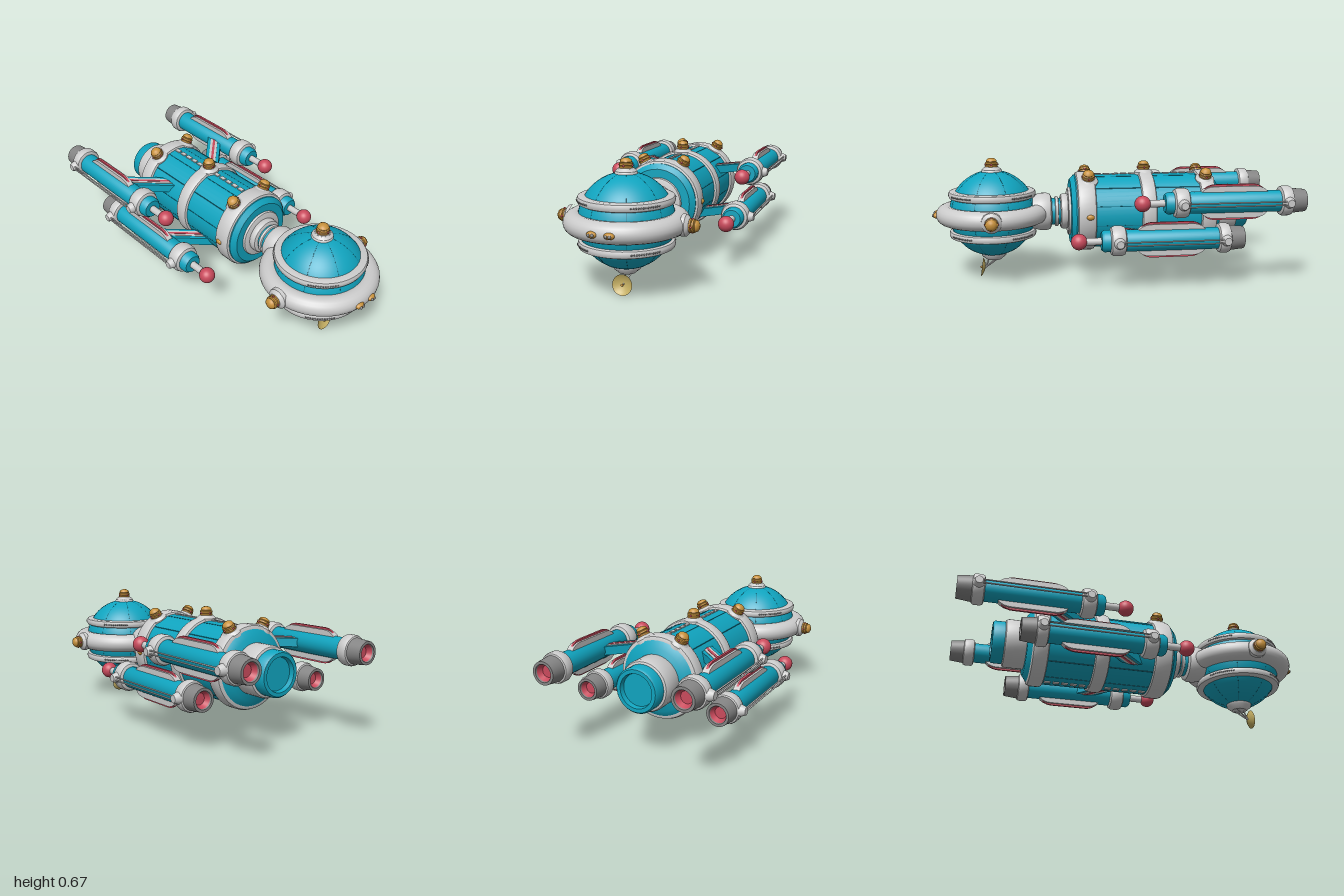
import * as THREE from 'three';
import { toCreasedNormals } from 'three/addons/utils/BufferGeometryUtils.js';

const mat = (color, extra = {}) => new THREE.MeshStandardMaterial({ color, ...extra });
const M = {
  grey: mat(0xcccccc), teal: mat(0x10a4bf), seam: mat(0x0a7086), gold: mat(0xc8923c),
  red: mat(0xc94a5c), dark: mat(0x858585), dish: mat(0xc4ae62, { side: THREE.DoubleSide }),
};
const V = (x, y, z) => new THREE.Vector3(x, y, z);
const UP = V(0, 1, 0), FWD = V(1, 0, 0);
const CY = 0.373; // height of the ship's axis
const HEAD = V(0.667, CY, 0);

function add(parent, name, geo, material, pos) {
  const mesh = new THREE.Mesh(geo, material);
  mesh.name = name;
  if (pos) mesh.position.copy(pos);
  parent.add(mesh);
  return mesh;
}

// Lathe of [radius, distance] points around a direction, with sharp creases
function turned(parent, name, profile, material, pos = V(0, 0, 0), dir = UP, seg = 40) {
  let geo = new THREE.LatheGeometry(profile.map(p => new THREE.Vector2(...p)), seg);
  geo = toCreasedNormals(geo.scale(100, 100, 100), 0.7).scale(0.01, 0.01, 0.01);
  const mesh = add(parent, name, geo, material, pos);
  mesh.quaternion.setFromUnitVectors(UP, dir.clone().normalize());
  return mesh;
}

// Closed band with rounded shoulders between distances a and b
function band(r0, r, a, b, c = 0.015) {
  const k = c * 0.3;
  return [[r0, a], [r - c, a], [r - k, a + k], [r, a + c], [r, b - c], [r - k, b - k], [r - c, b], [r0, b]];
}

function rod(parent, name, a, b, r, material) {
  const geo = new THREE.CylinderGeometry(r, r, a.distanceTo(b), 12);
  const mesh = add(parent, name, geo, material, a.clone().add(b).multiplyScalar(0.5));
  mesh.quaternion.setFromUnitVectors(UP, b.clone().sub(a).normalize());
}

// Ribbed gold lamp on a grey skirt
function lamp(parent, pos, dir, s = 1) {
  const g = new THREE.Group();
  g.name = 'lamp';
  g.position.copy(pos);
  g.quaternion.setFromUnitVectors(UP, dir.clone().normalize());
  g.scale.setScalar(s);
  parent.add(g);
  turned(g, 'lampSkirt', [[0.056, -0.02], [0.054, 0], [0.036, 0.016], [0, 0.016]], M.grey, undefined, UP, 24);
  turned(g, 'lampDome', [[0.03, 0.01], [0.034, 0.015], [0.034, 0.024], [0.029, 0.027], [0.034, 0.03], [0.034, 0.039],
    [0.028, 0.042], [0.03, 0.046], [0.026, 0.055], [0.015, 0.062], [0, 0.064]], M.gold, undefined, UP, 24);
  for (let i = 0; i < 4; i++) {
    const a = i * Math.PI / 2;
    add(g, 'lampStud', new THREE.SphereGeometry(0.006, 8, 6), M.red, V(Math.cos(a) * 0.033, 0.028, Math.sin(a) * 0.033));
  }
}

function head(ship) {
  const g = new THREE.Group();
  g.name = 'head';
  g.position.copy(HEAD);
  ship.add(g);
  add(g, 'headSphere', new THREE.SphereGeometry(0.24, 64, 40), M.teal);
  for (let i = 0; i < 4; i++) {
    const seam = add(g, 'panelSeam', new THREE.TorusGeometry(0.239, 0.002, 4, 80), M.seam);
    seam.rotation.y = (i + 0.5) * Math.PI / 4;
  }
  // Wide equatorial ring
  const oval = [];
  for (let i = 0; i <= 20; i++) {
    const a = -Math.PI / 2 + i * Math.PI * 2 / 20;
    oval.push([0.255 + 0.057 * Math.cos(a), 0.053 * Math.sin(a)]);
  }
  turned(g, 'equatorRing', oval, M.grey, undefined, UP, 72);
  // Narrow bands with rows of rivets
  for (const s of [1, -1]) {
    turned(g, 'headBand', band(0.2, 0.241, s * 0.11 - 0.021, s * 0.11 + 0.021), M.grey, undefined, UP, 64);
    for (let q = 0; q < 4; q++) for (let i = -6; i <= 6; i++) {
      const a = Math.PI / 4 + q * Math.PI / 2 + i * 0.05;
      add(g, 'bandRivet', new THREE.SphereGeometry(0.005, 6, 4), M.dark, V(Math.cos(a) * 0.24, s * 0.11, Math.sin(a) * 0.24));
    }
  }
  turned(g, 'topCap', [[0.058, 0.225], [0.055, 0.242], [0.04, 0.258], [0, 0.258]], M.grey);
  turned(g, 'bottomCap', [[0, -0.265], [0.042, -0.265], [0.068, -0.243], [0.072, -0.225]], M.grey);
  lamp(g, V(0, 0.245, 0), UP);
  for (const s of [1, -1]) {
    lamp(g, V(0, 0, s * 0.31), V(0, 0, s));
    // Small paired front lights
    const bezel = add(g, 'headlight', new THREE.SphereGeometry(0.027, 20, 12), M.gold, V(0.304, 0, s * 0.043));
    bezel.scale.set(0.8, 0.62, 1);
    for (const k of [1, -1])
      add(g, 'headlightBulb', new THREE.SphereGeometry(0.008, 10, 8), M.dark, V(0.322, 0, s * 0.043 + k * 0.009));
  }
  // Dish antenna hanging below
  const hub = V(0.05, -0.315, 0);
  const dish = turned(g, 'dish', [[0, 0], [0.02, 0.003], [0.04, 0.01], [0.053, 0.02]], M.dish, hub, V(1, 0.15, 0));
  add(dish, 'dishFeed', new THREE.SphereGeometry(0.007, 10, 8), M.gold, V(0, 0.022, 0));
  rod(dish, 'feedRod', V(0, 0, 0), V(0, 0.022, 0), 0.002, M.gold);
  for (const z of [0.025, -0.025]) rod(g, 'dishStrut', V(-0.035, -0.25, z), hub, 0.004, M.grey);
  rod(g, 'dishStrut', V(0.025, -0.255, 0), hub, 0.004, M.grey);
}

function hull(ship) {
  const g = new THREE.Group();
  g.name = 'hull';
  g.position.y = CY;
  ship.add(g);
  const O = V(0, 0, 0);
  turned(g, 'hullBarrel', [[0, -0.6], [0.17, -0.6], [0.207, -0.57], [0.207, 0.21], [0.18, 0.235], [0, 0.235]], M.teal, O, FWD, 48);
  for (const [a, b] of [[-0.575, -0.485], [-0.235, -0.15], [0.1, 0.205]])
    turned(g, 'hullHoop', band(0.19, 0.224, a, b, 0.02), M.grey, O, FWD, 48);
  turned(g, 'frontPlate', band(0, 0.135, 0.22, 0.25, 0.01), M.grey, O, FWD);
  // Stepped neck up to the head
  turned(g, 'neckCore', [[0.075, 0.2], [0.075, 0.38]], M.teal, O, FWD);
  turned(g, 'neckFlange', band(0.05, 0.1, 0.24, 0.29), M.grey, O, FWD);
  turned(g, 'neckCollar', band(0.05, 0.086, 0.3, 0.32, 0.008), M.grey, O, FWD);
  turned(g, 'neckSocket', [[0, 0.338], [0.08, 0.338], [0.098, 0.345], [0.106, 0.365], [0.106, 0.4], [0.09, 0.46]], M.grey, O, FWD);
  // Tail engine
  turned(g, 'tailHousing', band(0, 0.135, -0.72, -0.58, 0.02), M.grey, O, FWD);
  turned(g, 'tailEngine', [[0, -0.76], [0.085, -0.76], [0.09, -0.785], [0.11, -0.785], [0.118, -0.775], [0.118, -0.7]], M.teal, O, FWD);
  // Lengthwise seams and dashed strips
  for (let i = 0; i < 12; i++) {
    const a = (i + 0.5) * Math.PI / 6;
    add(g, 'hullSeam', new THREE.BoxGeometry(0.76, 0.004, 0.004), M.seam, V(-0.18, Math.sin(a) * 0.206, Math.cos(a) * 0.206));
  }
  for (const s of [1, -1]) for (let i = 0; i < 12; i++)
    add(g, 'hullDash', new THREE.BoxGeometry(0.035, 0.012, 0.022), M.grey, V(-0.465 + i * 0.049, s * 0.206, 0));
  // Lamps on the hoops
  lamp(g, V(-0.19, 0.217, 0), UP);
  for (const s of [1, -1]) {
    for (const x of [-0.525, 0.138]) {
      const d = V(0, 0.88, s * 0.475).normalize();
      lamp(g, V(x, d.y * 0.212, d.z * 0.212), d);
    }
    const light = add(g, 'sideLight', new THREE.SphereGeometry(0.022, 16, 10), M.gold, V(0.138, 0, s * 0.22));
    light.scale.set(1, 0.7, 0.6);
  }
}

// Rounded lengthwise fin outline, standing on a tube
function finGeo(len, h, t) {
  const s = new THREE.Shape();
  s.moveTo(-len / 2, 0);
  s.quadraticCurveTo(-len / 2 + 0.01, h, -len / 2 + 0.09, h);
  s.lineTo(len / 2 - 0.09, h);
  s.quadraticCurveTo(len / 2 - 0.01, h, len / 2, 0);
  return new THREE.ExtrudeGeometry(s, { depth: t, bevelEnabled: false, curveSegments: 8 }).translate(0, 0, -t / 2);
}

// Engine pod; its own origin is the middle of the tube, side is the outward z
function pod(ship, x, y, side) {
  const g = new THREE.Group();
  g.name = 'enginePod';
  g.position.set(x, y, side * 0.38);
  ship.add(g);
  const O = V(0, 0, 0);
  turned(g, 'podTube', [[0.058, -0.3], [0.058, 0.33], [0.048, 0.345], [0, 0.345]], M.teal, O, FWD);
  turned(g, 'rearHoop', band(0.05, 0.08, -0.345, -0.28, 0.016), M.grey, O, FWD);
  turned(g, 'frontHoop', band(0.05, 0.08, 0.215, 0.3, 0.024), M.grey, O, FWD);
  turned(g, 'nozzle', [[0.03, -0.37], [0.046, -0.42], [0.06, -0.42], [0.068, -0.34]], M.dark, O, FWD);
  turned(g, 'nozzleGlow', [[0, -0.385], [0.03, -0.385], [0.043, -0.412]], M.red, O, FWD);
  rod(g, 'noseRod', V(0.33, 0, 0), V(0.44, 0, 0), 0.02, M.grey);
  add(g, 'noseBall', new THREE.SphereGeometry(0.043, 28, 20), M.red, V(0.462, 0, 0));
  // Red blades set in grey ridges, above and below
  for (const s of [1, -1]) {
    const ridge = add(g, 'finRidge', finGeo(0.4, 0.085, 0.036), M.grey, V(-0.03, 0, 0));
    const blade = add(g, 'finBlade', finGeo(0.38, 0.095, 0.012), M.red, V(-0.03, 0, 0));
    if (s < 0) ridge.rotation.x = blade.rotation.x = Math.PI;
    rod(g, 'sideRod', V(-0.32, s * 0.009, side * 0.092), V(0.26, s * 0.009, side * 0.092), 0.004, M.grey);
  }
  // Brackets for the outer rods
  for (const bx of [-0.313, 0.257])
    turned(g, 'rodBracket', [[0.036, 0.055], [0.026, 0.09], [0.02, 0.104], [0, 0.104]], M.grey, V(bx, 0, 0), V(0, 0, side), 16);

  // Swept strut into the hull
  const slab = (name, w, h, material) => {
    const s = new THREE.Shape([[-w, 0], [w, 0], [w + 0.22, -0.22], [-w + 0.22, -0.22]].map(p => new THREE.Vector2(...p)));
    const geo = new THREE.ExtrudeGeometry(s, { depth: h, bevelEnabled: false }).translate(0, 0, -h / 2);
    geo.rotateX(side > 0 ? Math.PI / 2 : -Math.PI / 2);
    add(g, name, geo, material, V(0.04, 0, -side * 0.03));
  };
  slab('strut', 0.057, 0.046, M.teal);
  slab('strutStripe', 0.03, 0.052, M.grey);
  slab('strutLine', 0.01, 0.056, M.red);
}

export function createModel() {
  const ship = new THREE.Group();
  ship.name = 'spaceship';
  head(ship);
  hull(ship);
  for (const side of [1, -1]) {
    pod(ship, -0.58, 0.471, side);
    pod(ship, -0.245, 0.277, side);
  }
  return ship;
}
